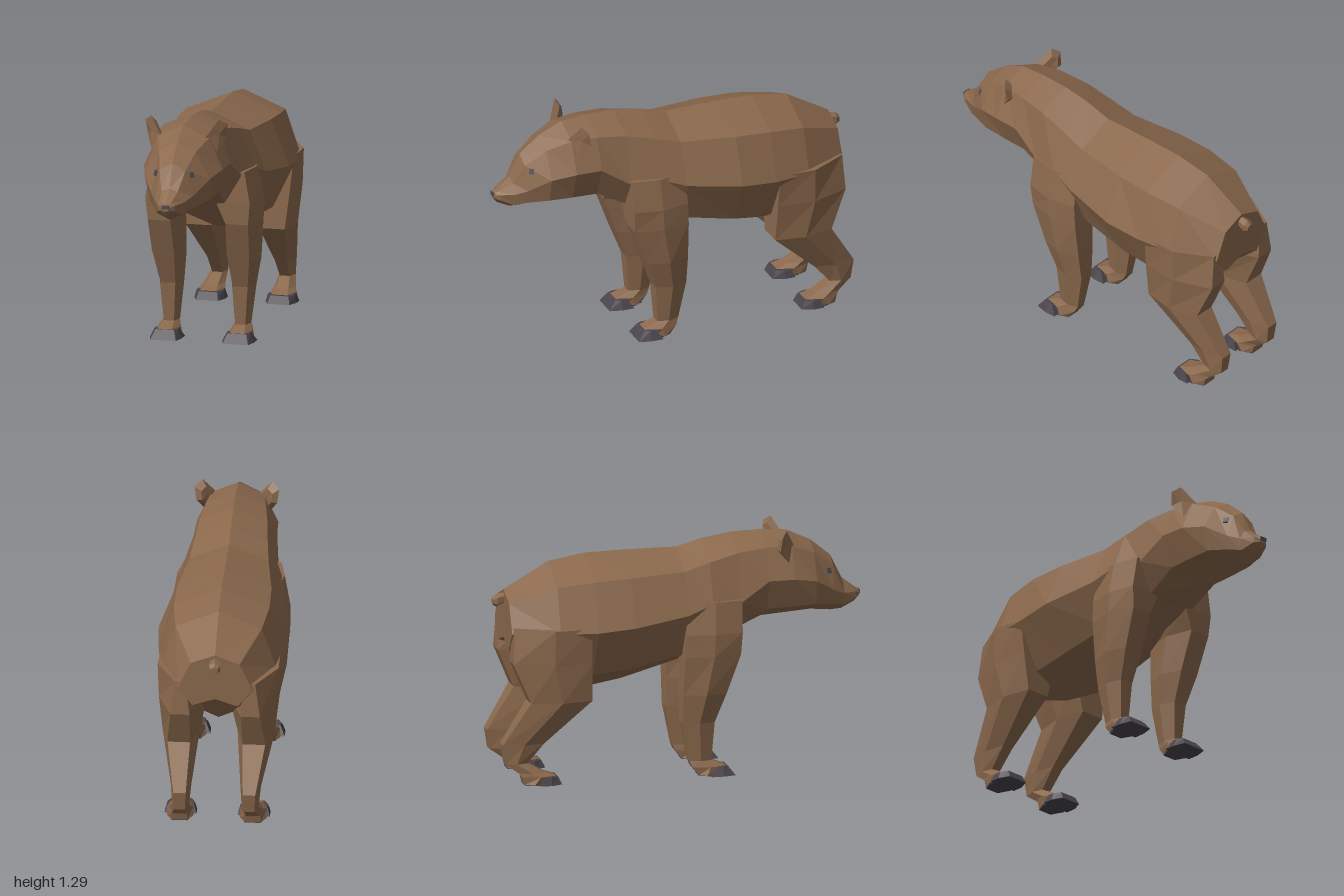
import * as THREE from 'three';

const mat = (name, color) => {
  const m = new THREE.MeshStandardMaterial({ color, flatShading: true });
  m.name = name;
  return m;
};

// Skin a series of closed rings (counter-clockwise about the loft direction), with capped ends.
function loft(rings) {
  const pos = [];
  const n = rings[0].length;
  const tri = (a, b, c) => pos.push(...a, ...b, ...c);
  for (let r = 0; r < rings.length - 1; r++) {
    const a = rings[r], b = rings[r + 1];
    for (let i = 0; i < n; i++) {
      const j = (i + 1) % n;
      tri(a[i], a[j], b[j]);
      tri(a[i], b[j], b[i]);
    }
  }
  const centre = ring => [0, 1, 2].map(k => ring.reduce((s, p) => s + p[k], 0) / n);
  const first = rings[0], last = rings[rings.length - 1];
  const c0 = centre(first), c1 = centre(last);
  for (let i = 0; i < n; i++) {
    const j = (i + 1) % n;
    tri(c0, first[j], first[i]);
    tri(c1, last[i], last[j]);
  }
  const g = new THREE.BufferGeometry();
  g.setAttribute('position', new THREE.Float32BufferAttribute(pos, 3));
  g.computeVertexNormals();
  return g;
}

// Mirror rings to the other side, keeping the faces outward.
const onSide = (rings, s) => s > 0 ? rings
  : rings.map(r => r.map(([x, y, z]) => [-x, y, z]).reverse());

// Body ring: top y, upper x/y, side x/y, lower x/y, bottom y.
const bodyRing = ([z, top, ux, uy, sx, sy, lx, ly, bottom]) => [
  [sx, sy, z], [ux, uy, z], [0, top, z], [-ux, uy, z],
  [-sx, sy, z], [-lx, ly, z], [0, bottom, z], [lx, ly, z]];

// Six-sided leg ring; f and b are how far the front and back corners are drawn in.
const legRing = ([y, zf, zb, xi, xo, f = 0.2, b = 0.2]) => {
  const w = xo - xi, zm = (zf + zb) / 2;
  return [[xi + w * f, y, zf], [xo - w * f, y, zf], [xo, y, zm],
    [xo - w * b, y, zb], [xi + w * b, y, zb], [xi, y, zm]];
};

export function createModel() {
  const fur = mat('brown fur', 0x8a684c);
  const dark = mat('dark claw', 0x4a454c);
  const grey = mat('eye and nose grey', 0x4c4a55);
  const model = new THREE.Group();
  model.name = 'bear';
  const add = (name, geometry, material) => {
    const m = new THREE.Mesh(geometry, material);
    m.name = name;
    model.add(m);
    return m;
  };

  // Torso, from rump to neck
  const neck = [0.3, 1.265, 0.18, 1.19, 0.24, 0.93, 0.15, 0.78, 0.755];
  add('torso', loft([
    [-0.94, 1.02, 0.13, 0.97, 0.2, 0.82, 0.12, 0.72, 0.76],
    [-0.7, 1.16, 0.23, 1.065, 0.31, 0.83, 0.2, 0.62, 0.53],
    [-0.5, 1.195, 0.255, 1.09, 0.335, 0.83, 0.21, 0.575, 0.465],
    [-0.3, 1.2, 0.25, 1.1, 0.35, 0.85, 0.22, 0.6, 0.5],
    [0, 1.2, 0.21, 1.11, 0.3, 0.89, 0.2, 0.66, 0.585],
    [0.14, 1.24, 0.195, 1.15, 0.275, 0.94, 0.18, 0.72, 0.66],
    neck].map(bodyRing)), fur);

  // Head, from neck to muzzle
  add('head', loft([neck,
    [0.46, 1.27, 0.16, 1.205, 0.22, 1.035, 0.155, 0.87, 0.8],
    [0.6, 1.26, 0.14, 1.2, 0.215, 1.035, 0.155, 0.875, 0.81],
    [0.73, 1.2, 0.1, 1.15, 0.18, 1.01, 0.15, 0.88, 0.82],
    [0.84, 1.11, 0.07, 1.07, 0.115, 0.94, 0.1, 0.865, 0.81],
    [0.9, 0.985, 0.045, 0.97, 0.08, 0.915, 0.07, 0.85, 0.815],
    [0.97, 0.93, 0.025, 0.925, 0.045, 0.91, 0.045, 0.88, 0.85],
    [0.995, 0.915, 0.015, 0.912, 0.022, 0.9, 0.018, 0.885, 0.88]].map(bodyRing)), fur);
  add('nose', new THREE.BoxGeometry(0.04, 0.02, 0.008), grey).position.set(0, 0.905, 0.996);

  // Stub tail
  const tail = [[-1, 0.958, 0.02], [-0.98, 0.962, 0.035], [-0.92, 0.98, 0.025]];
  add('tail', loft(tail.map(([z, y, r]) => Array.from({ length: 6 }, (_, i) => {
    const a = i * Math.PI / 3 + Math.PI / 6;
    return [r * Math.cos(a), y + r * Math.sin(a), z];
  }))), fur);

  // Ear outline and its smaller rear ring
  const earFront = [[0.18, 1.12, 0.575], [0.215, 1.19, 0.52], [0.225, 1.265, 0.53],
    [0.185, 1.295, 0.56], [0.12, 1.2, 0.615]];
  const earMid = [0.18, 1.2, 0.56], shift = [-0.02, 0, -0.022];
  const earBack = earFront.map(p => p.map((v, k) => earMid[k] + (v - earMid[k]) * 0.65 + shift[k]));

  // Leg rings, bottom to top: y, front z, back z, inner x, outer x, corner insets
  const frontLeg = [
    [0.08, 0.14, 0.02, 0.15, 0.24], [0.29, 0.155, -0.02, 0.13, 0.265],
    [0.45, 0.215, -0.02, 0.11, 0.3], [0.66, 0.29, -0.015, 0.11, 0.315, 0.2, 0.15],
    [0.78, 0.297, -0.01, 0.07, 0.315, 0.12, 0.12],
    [0.95, 0.3, 0, 0.1, 0.285, 0.15, 0.15]];
  const hindLeg = [
    [0.115, -0.86, -0.98, 0.14, 0.23], [0.22, -0.77, -0.995, 0.13, 0.24],
    [0.45, -0.52, -0.85, 0.1, 0.3, 0.15, 0.2],
    [0.66, -0.525, -0.94, 0.06, 0.315, 0.07, 0.3],
    [0.85, -0.53, -0.93, 0.05, 0.322, 0.02, 0.4]];
  const frontFoot = [
    [0.004, 0.15, 0.07, 0.13, 0.265], [0.048, 0.22, 0.035, 0.135, 0.26],
    [0.08, 0.14, 0.02, 0.15, 0.24]];
  const hindFoot = [
    [0.004, -0.78, -0.88, 0.125, 0.265], [0.045, -0.71, -0.89, 0.125, 0.265],
    [0.065, -0.77, -0.91, 0.135, 0.25], [0.115, -0.86, -0.98, 0.14, 0.23]];
  const frontToes = [[0, 0.263, 0.13, 0.11, 0.285, 0.1, 0], [0.049, 0.225, 0.165, 0.134, 0.261, 0.1, 0]];
  const hindToes = [[0, -0.68, -0.8, 0.11, 0.28, 0.15, 0], [0.042, -0.7, -0.78, 0.123, 0.267, 0.15, 0]];
  const frontSole = [[0, 0.2, 0.07, 0.13, 0.265], [0.005, 0.2, 0.07, 0.13, 0.265]];
  const hindSole = [[0, -0.74, -0.88, 0.125, 0.265], [0.005, -0.74, -0.88, 0.125, 0.265]];

  for (const [side, s] of [['left', 1], ['right', -1]]) {
    const part = (name, rows, material) =>
      add(side + name, loft(onSide(rows.map(legRing), s)), material);
    part('FrontLeg', frontLeg, fur);
    part('HindLeg', hindLeg, fur);
    part('FrontFoot', frontFoot, fur);
    part('HindFoot', hindFoot, fur);
    part('FrontClaws', frontToes, dark);
    part('HindClaws', hindToes, dark);
    part('FrontSole', frontSole, dark);
    part('HindSole', hindSole, dark);
    add(side + 'Ear', loft(onSide([earBack, earFront], s)), fur);

    // Eye plate lying on the face
    const eye = add(side + 'Eye', new THREE.BoxGeometry(0.026, 0.03, 0.009), grey);
    eye.position.set(s * 0.098, 1.045, 0.812);
    eye.lookAt(s * (0.098 + 0.77), 1.045 + 0.33, 0.812 + 0.54);
  }
  return model;
}
